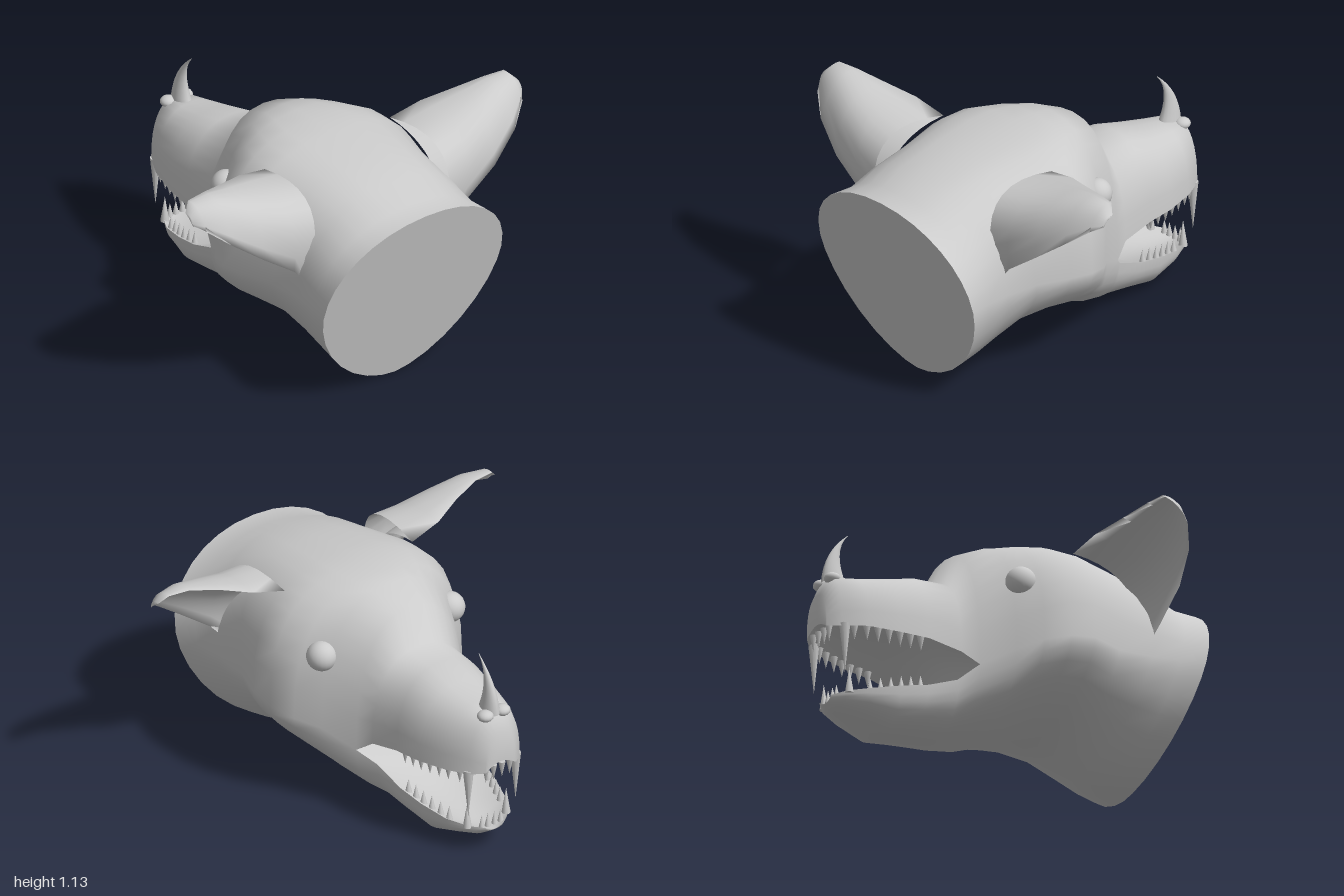
import * as THREE from 'three';
import { mergeGeometries, mergeVertices } from 'three/addons/utils/BufferGeometryUtils.js';

const mat = new THREE.MeshStandardMaterial({ color: 0xcccccc });
const thin = new THREE.MeshStandardMaterial({ color: 0xcccccc, side: THREE.DoubleSide });
const { smoothstep, lerp } = THREE.MathUtils;
const SEG = 16;
const CORNER_Z = -0.25; // corner of the mouth

// Cross-sections from neck to nose: z, top, bottom, upper lip, lower lip, half width
const stations = [
  [0.86, 0.96, 0, 0.55, 0.55, 0.54],
  [0.74, 0.97, 0.02, 0.54, 0.54, 0.51],
  [0.6, 1.03, 0.07, 0.53, 0.53, 0.49],
  [0.42, 1.07, 0.14, 0.52, 0.52, 0.49],
  [0.25, 1.1, 0.18, 0.52, 0.52, 0.55],
  [0.12, 1.105, 0.165, 0.5, 0.5, 0.55],
  [0, 1.1, 0.135, 0.47, 0.47, 0.5],
  [-0.1, 1.085, 0.1, 0.43, 0.43, 0.41],
  [CORNER_Z, 1.02, 0.06, 0.35, 0.35, 0.32],
  [-0.33, 0.85, 0.04, 0.41, 0.28, 0.285],
  [-0.5, 0.84, 0.025, 0.445, 0.22, 0.27],
  [-0.65, 0.8, 0, 0.45, 0.19, 0.25],
  [-0.8, 0.77, 0.05, 0.46, 0.16, 0.21],
  [-0.91, 0.76, 0.08, 0.46, 0.145, 0.15],
  [-0.96, 0.66, 0.11, 0.47, 0.135, 0.09],
];

// The lower jaw is a little shorter and narrower than the muzzle
const jawZ = (z) => (z < CORNER_Z ? CORNER_Z + (z - CORNER_Z) * 0.93 : z);
const jawWidth = (z, w) => (z < CORNER_Z ? w - 0.035 : w);

// Surface through rows of [x, y, z] points
function grid(rows, flip = false) {
  const n = rows[0].length, index = [];
  for (let i = 0; i < rows.length - 1; i++) {
    for (let j = 0; j < n - 1; j++) {
      const a = i * n + j, b = a + 1, c = a + n, d = c + 1;
      index.push(...(flip ? [a, c, b, b, c, d] : [a, b, c, b, d, c]));
    }
  }
  const g = new THREE.BufferGeometry();
  g.setAttribute('position', new THREE.Float32BufferAttribute(rows.flat(2), 3));
  g.setIndex(index);
  return g;
}

// Weld surfaces together and smooth them
function smooth(...parts) {
  const g = mergeVertices(mergeGeometries(parts), 1e-4);
  g.computeVertexNormals();
  return g;
}

const line = (fn) => Array.from({ length: SEG + 1 }, (_, j) => fn(j / SEG));

// Half ring of the skin: over the top (-x to +x) or under the jaw (+x to -x)
function arc([z, top, bottom, lipU, lipL, w], upper) {
  const tilt = 0.24 * smoothstep(z, 0.15, 0.65);
  const round = upper
    ? (z > 0.1 ? 0.75 + 0.2 * smoothstep(z, 0.4, 0.86) : 0.82)
    : 0.88 + 0.27 * smoothstep(z, -0.15, 0.05);
  const width = upper ? -w : jawWidth(z, w);
  const [lip, far] = upper ? [lipU, top] : [lipL, bottom];
  return line((t) => {
    const c = Math.cos(Math.PI * t), sn = t % 1 === 0 ? 0 : Math.sin(Math.PI * t);
    const y = lip + (far - lip) * sn ** round;
    return [width * Math.sign(c) * Math.abs(c) ** round, y, (upper ? z : jawZ(z)) + tilt * (y - 0.5)];
  });
}

// Inside of the mouth, from lip to lip
function mouthRow([z, , , lipU, lipL, w], upper) {
  const depth = Math.min(1, (lipU - lipL) * 5, w / 0.2) * (upper ? 0.08 : -0.05);
  return line((t) => [
    (upper ? w : -jawWidth(z, w)) * (1 - 2 * t),
    (upper ? lipU : lipL) + depth * Math.sin(Math.PI * t),
    upper ? z : jawZ(z),
  ]);
}

// Value of a station column at any z
function at(z, col) {
  const i = Math.max(1, stations.findIndex((s) => s[0] <= z));
  const a = stations[i - 1], b = stations[i];
  return lerp(a[col], b[col], (z - a[0]) / (b[0] - a[0]));
}

// Ear: crescent sections given by front edge, back ridge and lower edge
function earGeometry(side) {
  const sections = [
    [[0.38, 1.02, 0.23], [0.4, 0.98, 0.6], [0.42, 0.58, 0.6]],
    [[0.55, 1.06, 0.25], [0.54, 1, 0.58], [0.52, 0.69, 0.625]],
    [[0.7, 1.1, 0.31], [0.7, 1.05, 0.54], [0.7, 0.82, 0.625]],
    [[0.85, 1.13, 0.355], [0.85, 1.1, 0.49], [0.86, 0.94, 0.58]],
    [[0.96, 1.13, 0.37], [0.96, 1.11, 0.45], [0.96, 1.02, 0.51]],
    [[1, 1.09, 0.4], [1, 1.08, 0.44], [1, 1.04, 0.46]],
  ];
  const rows = sections.map((section) => {
    const [a, b, c] = section.map((p) => new THREE.Vector3(...p));
    const mid = a.clone().lerp(c, 0.5);
    const curve = (ridge) =>
      new THREE.QuadraticBezierCurve3(a, ridge.clone().multiplyScalar(2).sub(mid), c).getPoints(10);
    const loop = [...curve(b), ...curve(b.clone().lerp(mid, 0.45)).reverse()];
    return loop.map((p) => [side * p.x, p.y, p.z]);
  });
  const tip = rows.at(-1).map(() => [side, 1.07, 0.43]);
  return smooth(grid([...rows, tip], side < 0));
}

// Nose horn: rings along a path that curves back to the tip
function hornGeometry() {
  const path = new THREE.QuadraticBezierCurve3(
    new THREE.Vector3(0, 0.74, -0.865), new THREE.Vector3(0, 0.91, -0.9), new THREE.Vector3(0, 1.015, -0.788));
  const rows = path.getPoints(8).map((p, i) => {
    const r = 0.002 + 0.065 * (1 - i / 8) ** 1.3;
    return line((t) => [
      r * 0.65 * Math.cos(t * Math.PI * 2), p.y, p.z - r * Math.sin(t * Math.PI * 2)]);
  });
  return smooth(grid(rows));
}

export function createModel() {
  const group = new THREE.Group();
  const add = (name, geometry, material = mat, parent = group) => {
    const m = new THREE.Mesh(geometry, material);
    m.name = name;
    parent.add(m);
    return m;
  };

  // Head skin, with the nose and chin closed at the front
  const upper = stations.map((s) => arc(s, true));
  const lower = stations.map((s) => arc(s, false));
  const mouth = stations.filter((s) => s[0] <= CORNER_Z);
  const palate = mouth.map((s) => mouthRow(s, true));
  const floor = mouth.map((s) => mouthRow(s, false));
  add('headSkin', smooth(
    grid(upper), grid(lower),
    grid([upper.at(-1), [...palate.at(-1)].reverse()]),
    grid([lower.at(-1), [...floor.at(-1)].reverse()]),
  ));
  add('mouthRoof', smooth(grid(palate)), thin);
  add('mouthFloor', smooth(grid(floor)), thin);

  // Flat cut of the neck
  const rim = [...upper[0], ...lower[0]];
  add('neckCut', smooth(grid([rim.map(() => [0, 0.5, 0.86]), rim])));

  add('noseHorn', hornGeometry());

  const teeth = new THREE.Group();
  teeth.name = 'teeth';
  group.add(teeth);
  // Tooth rooted at the lip, pointing down (dir -1) or up (dir 1)
  const tooth = (name, x, y, z, len, r, dir) => {
    const m = add(name, new THREE.ConeGeometry(r, len, 8), mat, teeth);
    m.position.set(x, y + dir * (len / 2 - 0.015), z);
    if (dir < 0) m.rotation.x = Math.PI;
  };

  for (const side of [-1, 1]) {
    add(side > 0 ? 'leftEar' : 'rightEar', earGeometry(side), thin);

    const eye = add('eye', new THREE.SphereGeometry(0.075, 20, 14));
    eye.position.set(side * 0.38, 0.8, -0.06);

    const nostril = add('nostrilWing', new THREE.SphereGeometry(0.04, 14, 10));
    nostril.scale.y = 0.7;
    nostril.position.set(side * 0.05, 0.745, -0.905);

    // Cheek teeth
    for (let i = 0; i < 7; i++) {
      const z = -0.53 - i * 0.053;
      const x = at(z, 5) - 0.025;
      tooth('upperTooth', side * x, at(z, 3), z, 0.08, 0.02, -1);
      if (i < 6) tooth('lowerTooth', side * jawWidth(z, x), at(z, 4), jawZ(z), 0.075, 0.018, 1);
    }
    // Fangs and front teeth
    tooth('upperFang', side * 0.14, 0.46, -0.89, 0.255, 0.027, -1);
    tooth('lowerFang', side * 0.115, 0.15, -0.85, 0.135, 0.022, 1);
    for (const x of [0.025, 0.07]) {
      tooth('upperIncisor', side * x, 0.47, -0.935, 0.085, 0.018, -1);
      tooth('lowerIncisor', side * x * 0.8, 0.14, -0.885, 0.07, 0.016, 1);
    }
  }
  return group;
}
